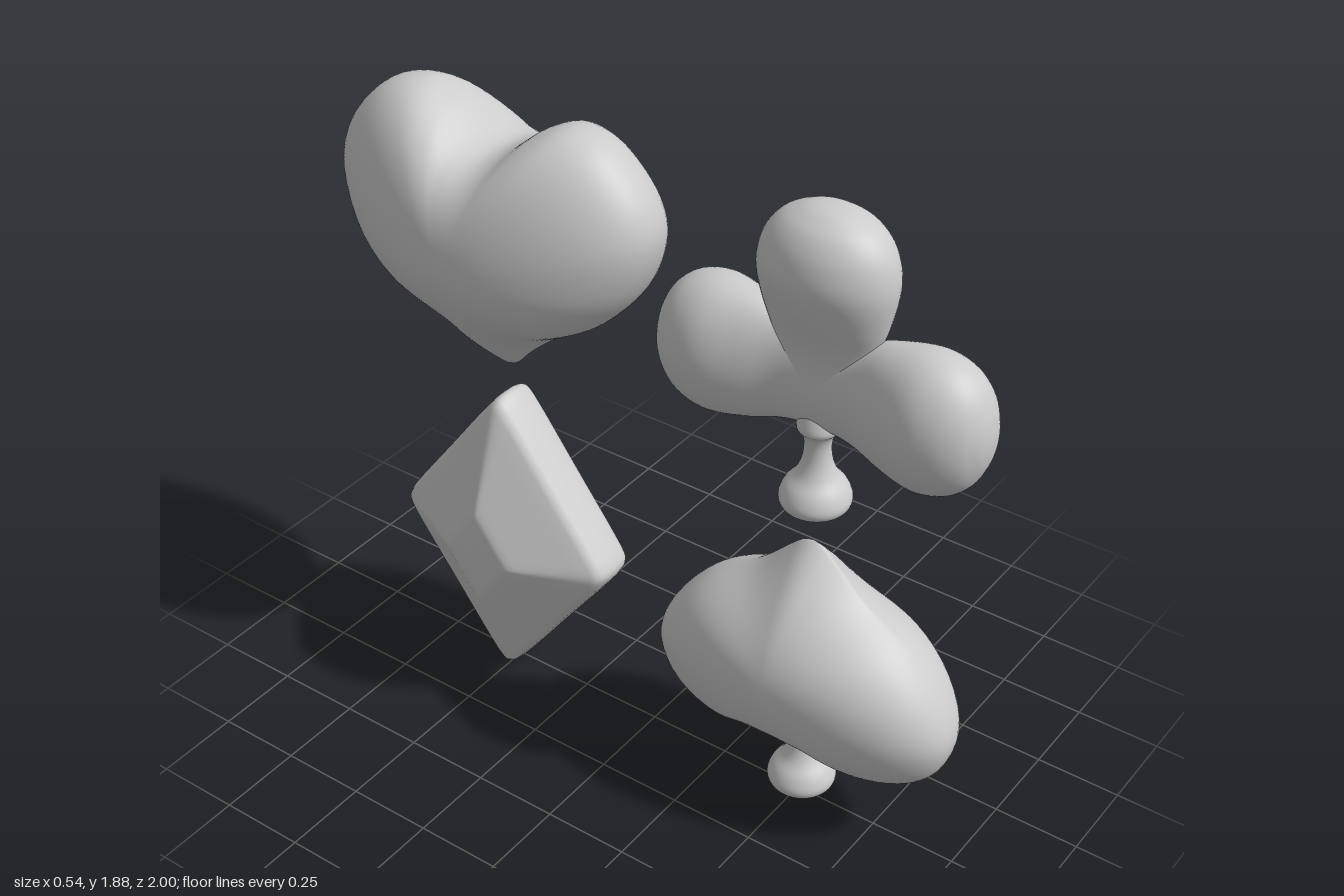
import * as THREE from 'three';
import { mergeVertices } from 'three/addons/utils/BufferGeometryUtils.js';

const material = new THREE.MeshStandardMaterial({ color: 0xcccccc });

// Builds a smooth-shaded geometry whose coincident vertices are welded
function weld(positions, index) {
  let geo = new THREE.BufferGeometry();
  geo.setAttribute('position', new THREE.Float32BufferAttribute(positions, 3));
  geo.setIndex(index);
  geo = mergeVertices(geo, 1e-6);
  geo.computeVertexNormals();
  return geo;
}

// Mirrors a half outline of [z, y] points (top to bottom) and samples it as a smooth closed loop.
function outline(half, samples) {
  const mirrored = half.slice(1, -1).reverse().map(([u, v]) => [-u, v]);
  const pts = [...half, ...mirrored].map(([u, v]) => new THREE.Vector3(0, v, u));
  return new THREE.CatmullRomCurve3(pts, true, 'centripetal').getSpacedPoints(samples).slice(0, samples);
}

// Shrinks the outline towards its centre in rings [scale, height], from the +x side over the rim to -x.
function inflate(loop, rings, depth, shrink) {
  const pos = [], index = [], n = loop.length;
  for (const [s, c] of rings) {
    for (const p of loop) {
      const k = shrink(s, p);
      pos.push(Math.sign(c) * depth(Math.abs(c), p), p.y * k, p.z * k);
    }
  }
  for (let i = 0; i < rings.length - 1; i++) {
    for (let j = 0; j < n; j++) {
      const k = (j + 1) % n;
      const a = i * n + j, b = i * n + k, d = a + n, e = b + n;
      if (i < rings.length - 2) index.push(a, d, e);
      if (i > 0) index.push(a, e, b);
    }
  }
  return weld(pos, index);
}

// Rings of a half circle, for fully rounded bodies
const roundRings = Array.from({ length: 49 }, (_, i) => {
  const a = (i / 48) * Math.PI;
  return i === 0 ? [0, 1] : i === 48 ? [0, -1] : i === 24 ? [1, 0] : [Math.sin(a), Math.cos(a)];
});

// Full sides that thin out upwards and downwards by their own exponents
const tapered = (thickness, up, down) => (c, p) => {
  const w = (p.y / Math.hypot(p.y, p.z)) ** 2;
  const e = 0.88 + ((p.y > 0 ? up : down) - 0.88) * w;
  return thickness * (0.9 * c ** e + 0.1 * c);
};

// Inner rings ease into an ellipse, so notches in the rim fade out on the body
const easeToEllipse = (rz, ry) => (s, p) => {
  const ellipse = 1 / Math.hypot(p.z / rz, p.y / ry);
  return s * (1 + (ellipse - 1) * (1 - s ** 1.5));
};

// Egg-shaped club lobe along +y: turned, then flattened in x, most of all near the club's centre
function lobeGeometry() {
  const pts = [[0.14, 0], [0.142, 0.06], [0.155, 0.12], [0.182, 0.2], [0.198, 0.3], [0.182, 0.38],
    [0.14, 0.435], [0.085, 0.465], [0.04, 0.477], [0, 0.48]].map(([r, y]) => new THREE.Vector2(r, y));
  const lathe = new THREE.LatheGeometry(new THREE.SplineCurve(pts).getPoints(48), 64);
  const pos = lathe.attributes.position;
  for (let i = 0; i < pos.count; i++) {
    pos.setX(i, pos.getX(i) * (0.47 + 0.24 * THREE.MathUtils.smoothstep(pos.getY(i), 0.08, 0.34)));
  }
  return weld(pos.array, [...lathe.index.array]);
}

// Turned stem with a flared foot
function stemGeometry() {
  const pts = [[0.07, 0], [0.09, 0.01], [0.097, 0.035], [0.084, 0.07], [0.057, 0.105], [0.041, 0.145],
    [0.036, 0.19], [0.042, 0.225], [0.058, 0.25], [0.045, 0.3]].map(([r, y]) => new THREE.Vector2(r, y));
  const profile = new THREE.SplineCurve(pts).getPoints(40);
  return new THREE.LatheGeometry([new THREE.Vector2(0, 0), ...profile, new THREE.Vector2(0, 0.31)], 40);
}

function addMesh(group, name, geometry, y, z) {
  const mesh = new THREE.Mesh(geometry, material);
  mesh.name = name;
  mesh.position.set(0, y, z);
  group.add(mesh);
  return mesh;
}

export function createModel() {
  const model = new THREE.Group();
  model.name = 'cardSuits';

  // Heart
  const heart = outline([[0, 0.265], [0.06, 0.285], [0.15, 0.355], [0.24, 0.392], [0.34, 0.372], [0.43, 0.3],
    [0.487, 0.215], [0.503, 0.13], [0.46, -0.01], [0.35, -0.145], [0.17, -0.268], [0.08, -0.345],
    [0.03, -0.398], [0, -0.41]], 144);
  addMesh(model, 'heart', inflate(heart, roundRings, tapered(0.27, 1, 2.2), easeToEllipse(0.46, 0.37)), 1.46, -0.5);

  // Spade
  const spade = outline([[0, 0.385], [0.03, 0.375], [0.07, 0.34], [0.157, 0.257], [0.32, 0.147], [0.425, 0.013],
    [0.457, -0.094], [0.42, -0.205], [0.34, -0.272], [0.25, -0.296], [0.13, -0.26], [0.05, -0.245], [0, -0.24]], 144);
  addMesh(model, 'spade', inflate(spade, roundRings, tapered(0.235, 2.2, 1.5), easeToEllipse(0.42, 0.34)), 0.5, 0.51);
  addMesh(model, 'spadeStem', stemGeometry(), 0.035, 0.51);

  // Club: one upright lobe and two to the sides
  const lobe = lobeGeometry();
  for (const [name, turn] of [['clubTopLobe', 0], ['clubFrontLobe', 1], ['clubBackLobe', -1]]) {
    const mesh = addMesh(model, name, lobe, 1.388, 0.515);
    mesh.rotation.x = turn * Math.PI / 2;
    if (turn === 0) mesh.scale.set(1, 1.03, 0.96);
  }
  addMesh(model, 'clubStem', stemGeometry(), 1.0, 0.51);

  // Diamond: flat middle facet, sloping sides and a rounded rim
  const quarter = [[0, 0.48], [0.018, 0.47], [0.05, 0.433], [0.19, 0.247], [0.325, 0.067], [0.353, 0.025]];
  const lower = quarter.map(([u, v]) => [u, -v]).reverse();
  const diamond = outline([...quarter, [0.362, 0], ...lower], 192);
  const side = [[0, 0.185], [0.15, 0.185], [0.27, 0.184], [0.32, 0.18], [0.37, 0.172], [0.43, 0.162],
    [0.6, 0.133], [0.8, 0.099], [0.92, 0.078], [0.96, 0.068], [0.985, 0.052], [0.997, 0.028]];
  const back = side.map(([s, x]) => [s, -x]).reverse();
  addMesh(model, 'diamond', inflate(diamond, [...side, [1, 0], ...back], (x) => x, (s) => s), 0.48, -0.5);

  return model;
}
